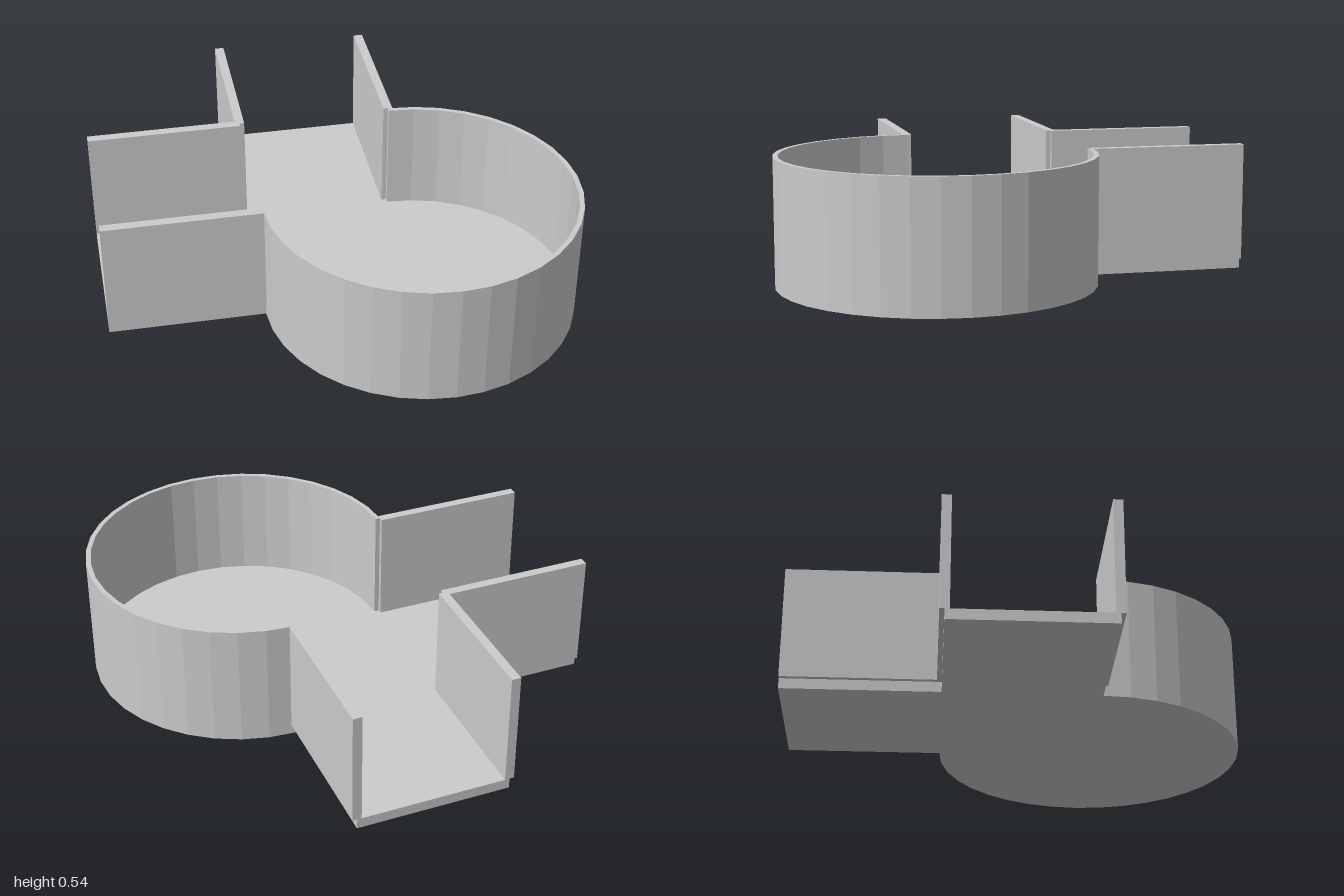
import * as THREE from 'three';

const FLOOR = 0.045, HEIGHT = 0.54;
const H = 1 / 3;           // half width of the channels, also the basin centre
const R = 2 / 3;           // basin radius
const WALL = 0.04, RIM = 0.021;

const material = new THREE.MeshStandardMaterial({ color: 0xcccccc, flatShading: true });

// Three-quarter arc of the basin in plan, as [x, z] points at 10 degree steps
function arc(radius) {
  const points = [];
  for (let i = 0; i <= 27; i++) {
    const a = -Math.PI / 2 + (i * Math.PI) / 18;
    points.push([H + radius * Math.cos(a), H + radius * Math.sin(a)]);
  }
  return points;
}

// Raises a plan outline of [x, z] points from y0 to y1
function prism(name, outline, y0, y1) {
  const shape = new THREE.Shape(outline.map(([x, z]) => new THREE.Vector2(x, -z)));
  const geometry = new THREE.ExtrudeGeometry(shape, { depth: y1 - y0, bevelEnabled: false });
  geometry.rotateX(-Math.PI / 2).translate(0, y0, 0);
  const mesh = new THREE.Mesh(geometry, material);
  mesh.name = name;
  return mesh;
}

export function createModel() {
  const group = new THREE.Group();
  group.name = 'channelJunction';

  // One floor under the basin and both channels
  const floorOutline = [
    ...arc(R),
    [-1, H], [-1, -H], [-H, -H], [-H, -1], [H, -1],
  ];
  group.add(prism('floor', floorOutline, 0, FLOOR));

  // Thin curved wall around the basin
  group.add(prism('basinWall', [...arc(R), ...arc(R - RIM).reverse()], FLOOR, HEIGHT));

  // Straight channel walls, centred on the floor edges so they overhang a little
  const length = 1 - H, tall = HEIGHT - FLOOR;
  const mid = -(1 + H) / 2, y = (HEIGHT + FLOOR) / 2;
  for (const side of [-1, 1]) {
    const back = new THREE.Mesh(new THREE.BoxGeometry(WALL, tall, length), material);
    back.position.set(side * H, y, mid);
    back.name = side < 0 ? 'backChannelRightWall' : 'backChannelLeftWall';

    const across = new THREE.Mesh(new THREE.BoxGeometry(length, tall, WALL), material);
    across.position.set(mid, y, side * H);
    across.name = side < 0 ? 'sideChannelBackWall' : 'sideChannelFrontWall';
    group.add(back, across);
  }
  return group;
}
